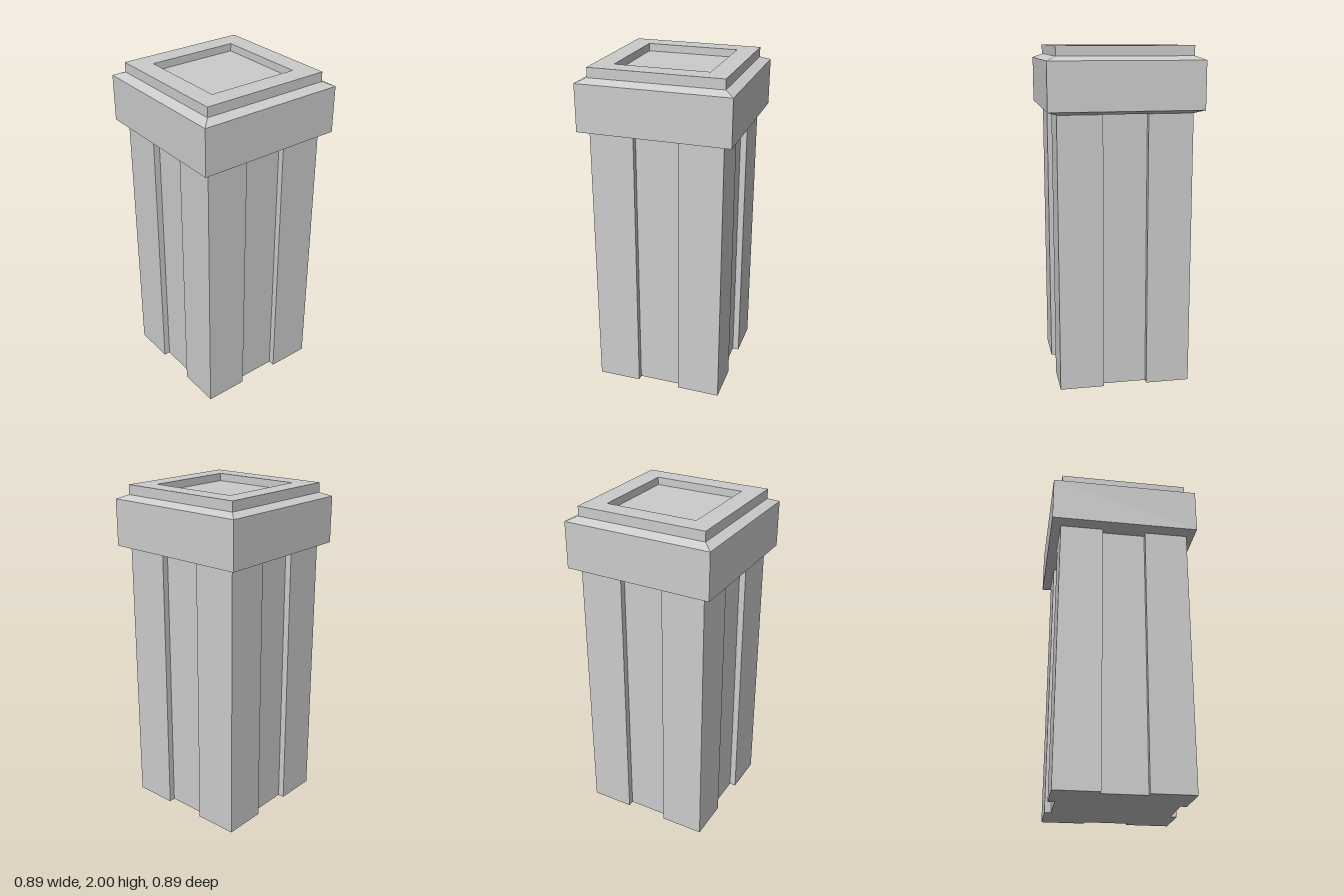
import * as THREE from 'three';

export function createModel() {
  const group = new THREE.Group();
  const material = new THREE.MeshStandardMaterial({ color: 0xcccccc, flatShading: true });
  const half = 0.39, groove = 0.13, depth = 0.038, shaftTop = 1.625;

  const add = (name, geometry) => {
    const mesh = new THREE.Mesh(geometry, material);
    mesh.name = name;
    group.add(mesh);
  };

  // Square shaft with a wide shallow groove down each side
  const side = [
    [-half, -half], [-groove, -half], [-groove, -half + depth],
    [groove, -half + depth], [groove, -half],
  ];
  const outline = [];
  for (let k = 0; k < 4; k++) {
    for (const [x, y] of side) {
      outline.push(new THREE.Vector2(x, y).rotateAround(new THREE.Vector2(), k * Math.PI / 2));
    }
  }
  const shaft = new THREE.ExtrudeGeometry(new THREE.Shape(outline), { depth: shaftTop, bevelEnabled: false });
  shaft.rotateX(-Math.PI / 2);
  add('shaft', shaft);

  // Square cap: bevelled band, raised rim and recessed top, as [half width, height]
  const profile = [
    [0, shaftTop], [half, shaftTop], [0.445, 1.645], [0.445, 1.92], [half, 1.943],
    [half, 2], [0.275, 2], [0.275, 1.955], [0, 1.955],
  ].map(([r, y]) => new THREE.Vector2(r * Math.SQRT2, y));
  const cap = new THREE.LatheGeometry(profile, 4, Math.PI / 4).toNonIndexed();
  cap.computeVertexNormals();
  add('cap', cap);

  return group;
}
